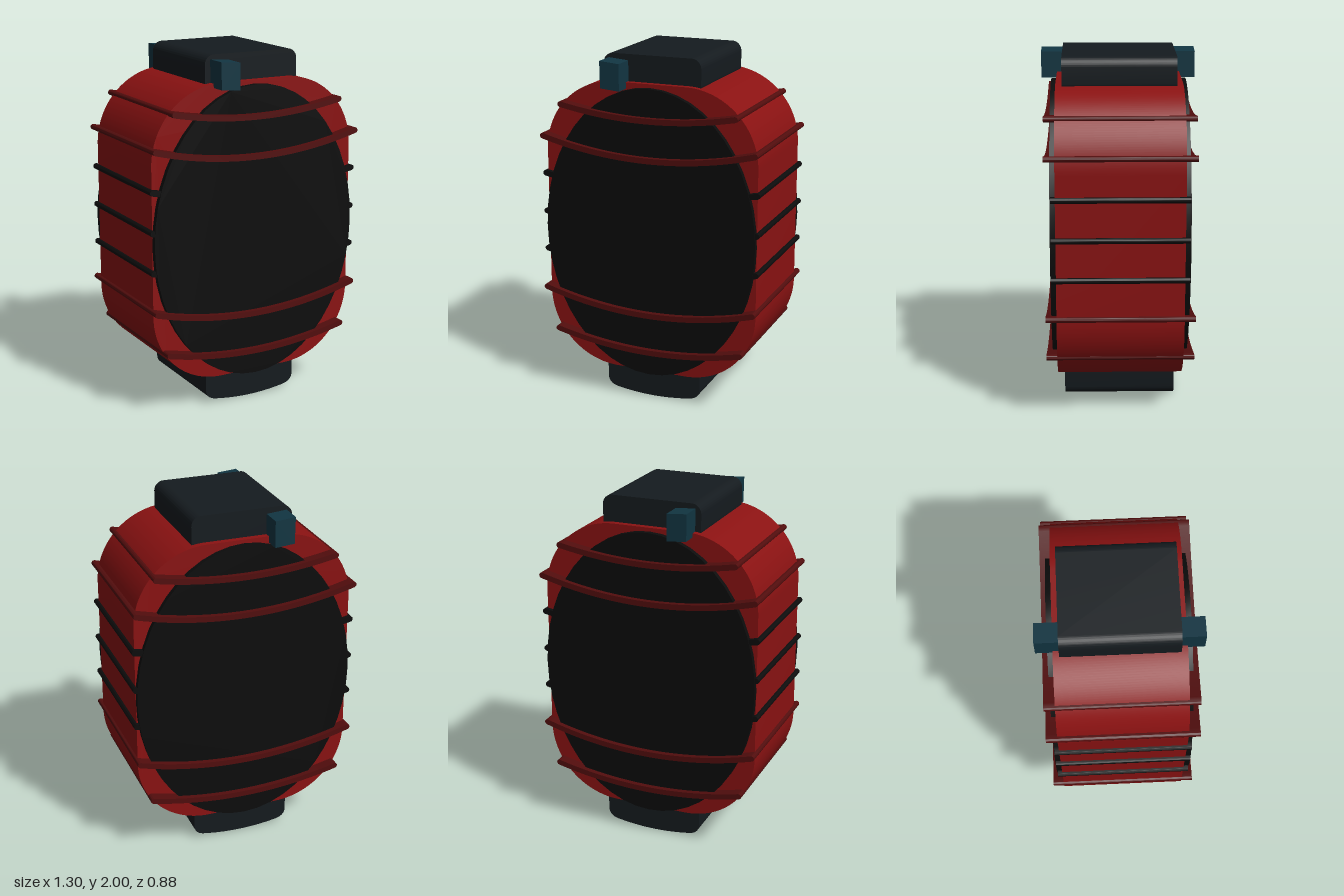
import * as THREE from 'three';
import { toCreasedNormals } from 'three/addons/utils/BufferGeometryUtils.js';

const material = (color) => new THREE.MeshStandardMaterial({ color });
const red = material(0x8b1212);
const darkRed = material(0x520d0d);
const black = material(0x0c0c0c);
const slate = material(0x151b1f);
const teal = material(0x123643);

// Front outline extruded evenly to both sides of z = 0
function slab(name, shape, halfDepth, mat) {
  const geo = new THREE.ExtrudeGeometry(shape, {
    depth: halfDepth * 2, bevelEnabled: false, curveSegments: 24,
  });
  geo.translate(0, 0, -halfDepth);
  const mesh = new THREE.Mesh(toCreasedNormals(geo, 0.6), mat);
  mesh.name = name;
  return mesh;
}

// Rounded rectangle between two heights
function roundedShape(w, y0, y1, r) {
  const s = new THREE.Shape();
  s.absarc(w - r, y0 + r, r, -Math.PI / 2, 0);
  s.absarc(w - r, y1 - r, r, 0, Math.PI / 2);
  s.absarc(-w + r, y1 - r, r, Math.PI / 2, Math.PI);
  s.absarc(-w + r, y0 + r, r, Math.PI, Math.PI * 1.5);
  s.closePath();
  return s;
}

// Sagging strip of half thickness t with round ends
function ribShape(w, yEnd, yMid, t) {
  const sag = yEnd - yMid;
  const R = (w * w + sag * sag) / (2 * sag);
  const cy = yMid + R;
  const a = Math.asin(w / R);
  const from = -Math.PI / 2 - a, to = -Math.PI / 2 + a;
  const s = new THREE.Shape();
  s.absarc(0, cy, R + t, from, to, false);
  s.absarc(w, yEnd, t, to, to + Math.PI, false);
  s.absarc(0, cy, R - t, to, from, true);
  s.absarc(-w, yEnd, t, from + Math.PI, from + Math.PI * 2, false);
  return s;
}

export function createModel() {
  const group = new THREE.Group();
  group.name = 'lantern';

  // Paper body
  group.add(slab('body', roundedShape(0.63, 0.17, 1.85, 0.42), 0.35, red));

  // Oval panels on front and back
  const oval = new THREE.Shape();
  oval.absellipse(0, 0.995, 0.63, 0.835, 0, Math.PI * 2);
  for (const side of [1, -1]) {
    const panel = slab(side > 0 ? 'frontPanel' : 'backPanel', oval, 0.02, black);
    panel.position.z = side * 0.36;
    group.add(panel);
  }

  // Raised ribs: half width, end height, middle height
  const ribs = [
    [0.515, 1.71, 1.657], [0.63, 1.52, 1.435],
    [0.63, 0.62, 0.53], [0.56, 0.372, 0.305],
  ];
  ribs.forEach(([w, yEnd, yMid], i) => {
    group.add(slab(`rib${i + 1}`, ribShape(w, yEnd, yMid, 0.016), 0.41, darkRed));
  });

  // Thin dark ribs around the middle
  [1.295, 1.07, 0.845].forEach((y, i) => {
    group.add(slab(`darkRib${i + 1}`, ribShape(0.635, y, y - 0.06, 0.016), 0.375, black));
  });

  // Top cap
  group.add(slab('topCap', roundedShape(0.287, 1.8, 2, 0.055), 0.315, slate));

  // Bottom cap with a gently bowed underside
  const base = new THREE.Shape();
  base.moveTo(-0.287, 0.24);
  base.lineTo(-0.287, 0.08);
  base.quadraticCurveTo(-0.285, 0.032, -0.23, 0.02);
  base.quadraticCurveTo(0, -0.02, 0.23, 0.02);
  base.quadraticCurveTo(0.285, 0.032, 0.287, 0.08);
  base.lineTo(0.287, 0.24);
  base.closePath();
  group.add(slab('bottomCap', base, 0.315, slate));

  // Hanging peg through the top cap
  const peg = new THREE.Shape([
    [-0.252, 1.825], [-0.14, 1.815], [-0.14, 1.965], [-0.255, 1.975],
  ].map(([x, y]) => new THREE.Vector2(x, y)));
  group.add(slab('peg', peg, 0.44, teal));

  return group;
}
